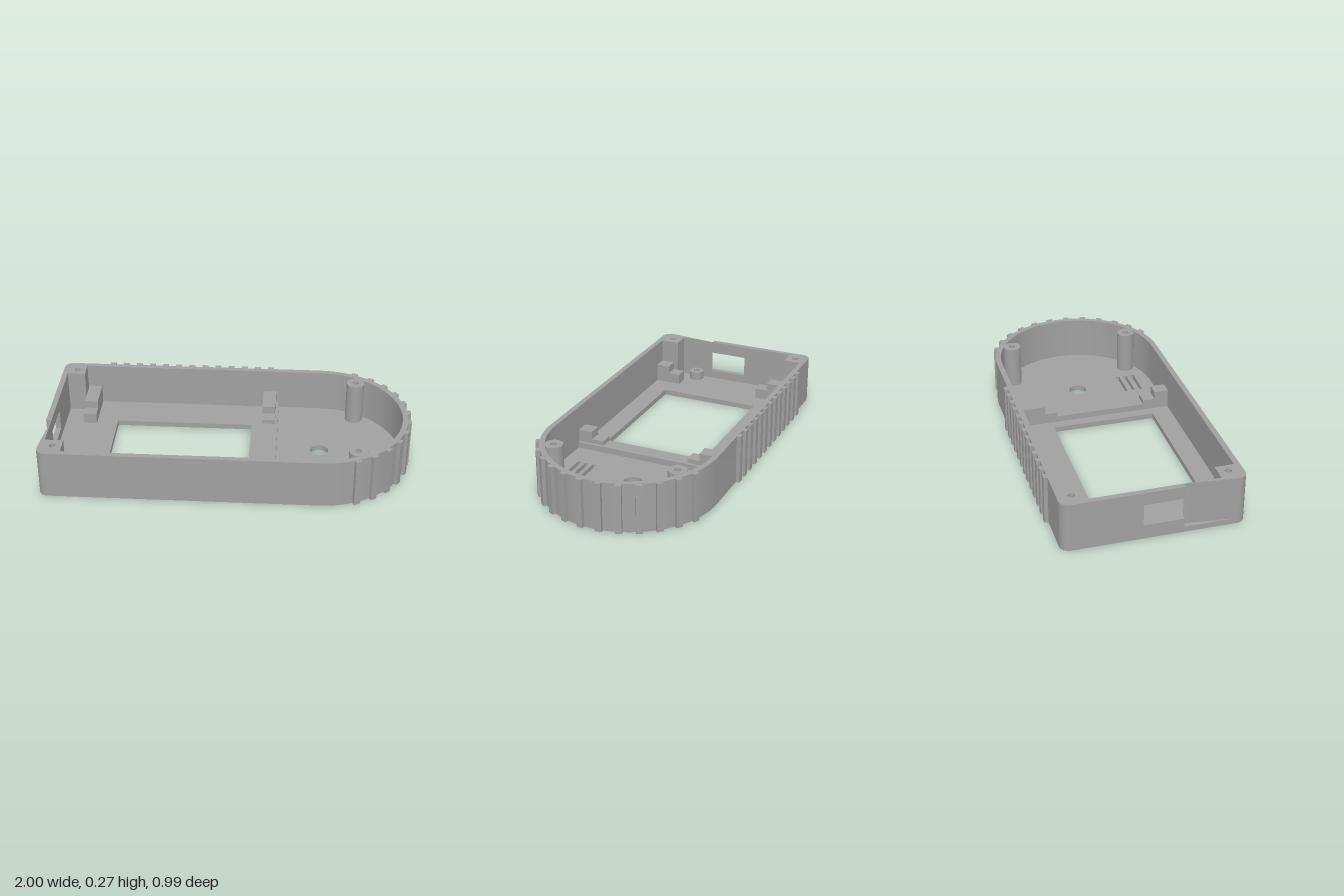
import * as THREE from 'three';
import { toCreasedNormals } from 'three/addons/utils/BufferGeometryUtils.js';

const grey = new THREE.MeshStandardMaterial({ color: 0xa0a0a0 });
grey.name = 'grey plastic';

const H = 0.27, FLOOR = 0.03, SKIN = 0.012;       // total height, floor top, recess depth
const BACK = -0.475, FRONT = 0.49, T = 0.03;      // outer walls and their thickness
const CX = 0.4975, CZ = 0.0075, R = 0.4825;       // centre and radius of the round end
const PORT = [-0.055, 0.16, 0.08, 0.2];           // port opening: z range, y range

export function createModel() {
  const model = new THREE.Group();

  const add = (name, geometry, x = 0, y = 0, z = 0) => {
    const mesh = new THREE.Mesh(geometry, grey);
    mesh.name = name;
    mesh.position.set(x, y, z);
    model.add(mesh);
    return mesh;
  };
  // plan shapes are drawn with shape y = -z, then raised from y0 to y1
  const slab = (name, shape, y0, y1) => {
    const g = new THREE.ExtrudeGeometry(shape, { depth: y1 - y0, bevelEnabled: false, curveSegments: 24 });
    g.rotateX(-Math.PI / 2);
    g.translate(0, y0, 0);
    return add(name, toCreasedNormals(g, 0.5));
  };
  const box = (name, x0, x1, y0, y1, z0, z1) =>
    add(name, new THREE.BoxGeometry(x1 - x0, y1 - y0, z1 - z0), (x0 + x1) / 2, (y0 + y1) / 2, (z0 + z1) / 2);
  const rect = (x0, x1, z0, z1, Type = THREE.Path) => {
    const p = new Type();
    p.moveTo(x0, -z0);
    p.lineTo(x0, -z1);
    p.lineTo(x1, -z1);
    p.lineTo(x1, -z0);
    p.closePath();
    return p;
  };
  const circle = (x, z, r, Type = THREE.Path) => {
    const p = new Type();
    p.absarc(x, -z, r, 0, Math.PI * 2);
    return p;
  };
  // outer edge from the front left corner round to the back left corner
  const outerEdge = (s) => {
    const c = 0.05, k = Math.PI / 2;
    s.absarc(-1 + c, -FRONT + c, c, 2 * k, 3 * k);
    s.absarc(CX, -CZ, R, -k, k);
    s.absarc(-1 + c, -BACK - c, c, k, 2 * k);
  };

  // floor: an upper layer with through openings, a lower skin with extra recesses
  const through = () => {
    const holes = [rect(-0.67, 0.11, -0.235, 0.35), circle(0.5, 0.005, 0.05), circle(-0.93, 0.25, 0.018)];
    for (let i = 0; i < 3; i++) holes.push(rect(0.41, 0.59, 0.267 + i * 0.045, 0.29 + i * 0.045));
    return holes;
  };
  const floorShape = (holes) => {
    const s = new THREE.Shape();
    outerEdge(s);
    s.closePath();
    s.holes.push(...holes);
    return s;
  };
  const recesses = [[0.345, 0.02], [0.65, 0.02], [0.165, 0.06], [-0.72, 0.03],
    [0.21, -0.41], [0.21, 0.41], [-0.825, -0.41], [-0.825, 0.41]]
    .map(([x, z]) => circle(x, z, 0.014));
  for (let i = 0; i < 11; i++) {                  // dial dots round the shaft hole
    const a = Math.PI * (0.17 + 0.066 * i);
    recesses.push(circle(0.5 + 0.24 * Math.cos(a), 0.005 - 0.24 * Math.sin(a), 0.009));
  }
  for (let i = 0; i < 7; i++) {                   // grille grooves under the port end
    const z = -0.16 + i * 0.033;
    recesses.push(rect(-0.97, -0.77, z, z + 0.014));
  }
  slab('floor', floorShape(through()), SKIN, FLOOR);
  slab('floorUnderside', floorShape([...through(), ...recesses]), 0, SKIN);

  // side wall, open at the port
  const wall = new THREE.Shape();
  wall.moveTo(-1, -PORT[1]);
  outerEdge(wall);
  wall.lineTo(-1, -PORT[0]);
  wall.lineTo(-1 + T, -PORT[0]);
  wall.lineTo(-1 + T, -BACK - T);
  wall.absarc(CX, -CZ, R - T, Math.PI / 2, -Math.PI / 2, true);
  wall.lineTo(-1 + T, -FRONT + T);
  wall.lineTo(-1 + T, -PORT[1]);
  wall.closePath();
  slab('wall', wall, FLOOR, H);
  box('portSill', -1, -1 + T, FLOOR, PORT[2], PORT[0], PORT[1]);
  box('portLintel', -1, -1 + T, PORT[3], H, PORT[0], PORT[1]);

  // posts with screw holes
  const post = (name, shape, x, z, top) => {
    shape.holes.push(circle(x, z, 0.018));
    slab(name, shape, FLOOR, top);
  };
  post('cornerPostBack', rect(-0.97, -0.87, BACK + T, -0.35, THREE.Shape), -0.92, -0.4, H);
  post('cornerPostFront', rect(-0.97, -0.87, 0.355, FRONT - T, THREE.Shape), -0.92, 0.41, H);
  for (const z of [-0.345, 0.36]) post('roundPost', circle(0.7, z, 0.05, THREE.Shape), 0.7, z, H);
  post('lowBoss', circle(-0.93, 0.25, 0.043, THREE.Shape), -0.93, 0.25, 0.08);

  // cross bar and the stepped supports
  box('crossBar', 0.17, 0.26, FLOOR, 0.065, BACK + T, FRONT - T);
  for (const [x0, x1] of [[-0.865, -0.79], [0.17, 0.245]]) {
    box('supportHighBack', x0, x1, FLOOR, 0.135, BACK + T, -0.27);
    box('supportLowBack', x0, x1, FLOOR, 0.09, -0.27, -0.2);
    box('supportHighFront', x0, x1, FLOOR, 0.135, 0.38, FRONT - T);
    box('supportLowFront', x0, x1, FLOOR, 0.09, 0.31, 0.38);
  }

  // grip ribs along the back and round the end
  for (let i = 0; i < 13; i++) {
    const x = -0.72 + i * 0.0775;
    box('backRib', x - 0.017, x + 0.017, 0, H, BACK - 0.021, BACK + 0.01);
  }
  for (let i = 0; i < 12; i++) {
    const a = THREE.MathUtils.degToRad(-66 + 12 * i), r = R + 0.005;
    const rib = add('endRib', new THREE.BoxGeometry(0.03, H, 0.034),
      CX + r * Math.cos(a), H / 2, CZ - r * Math.sin(a));
    rib.rotation.y = a;
  }
  return model;
}
